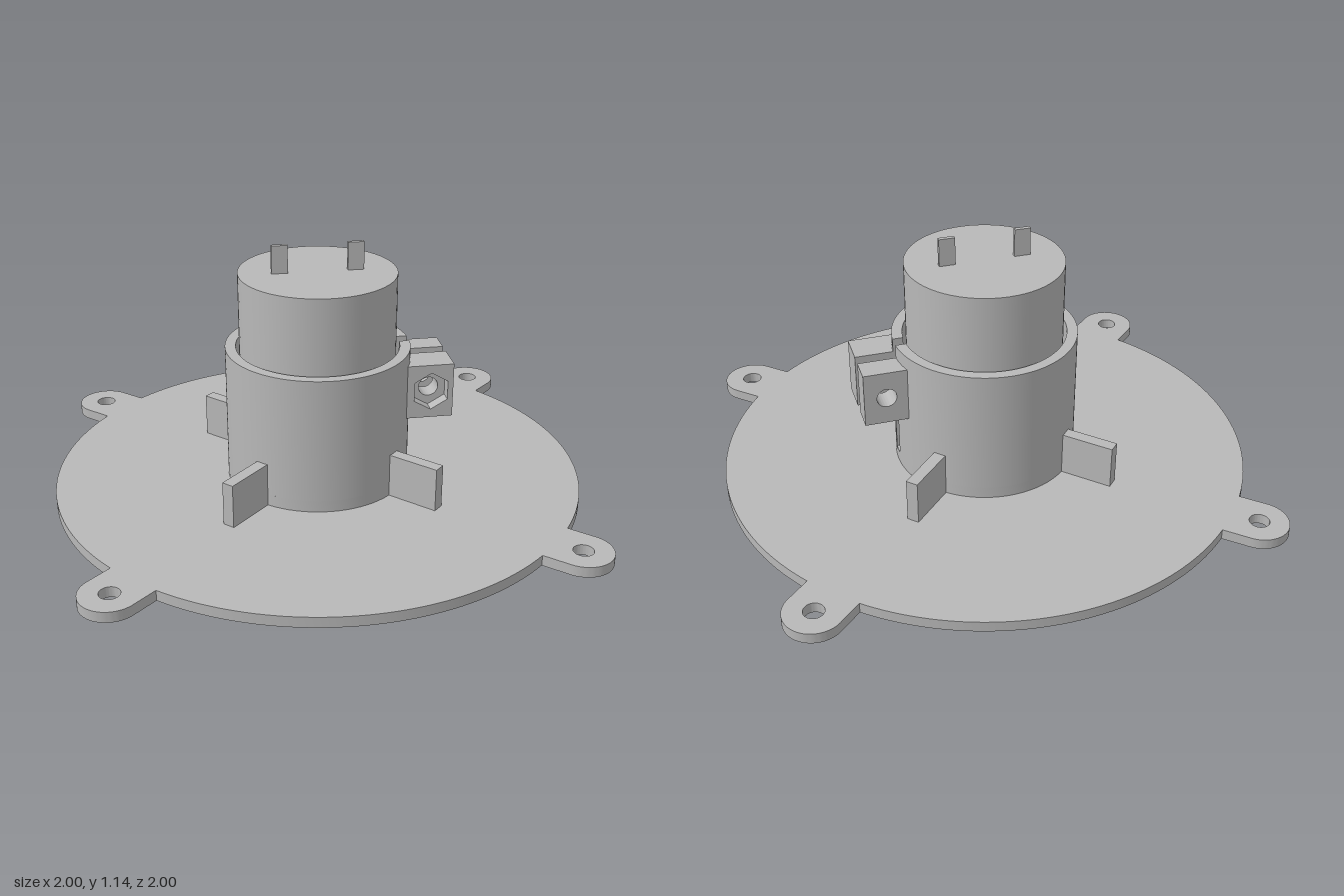
import * as THREE from 'three';
import { toCreasedNormals } from 'three/addons/utils/BufferGeometryUtils.js';

const PLATE_Y = 0.195, PLATE_TOP = 0.235;
const CLAMP_X = 0.403, CLAMP_Y = 0.597;

export function createModel() {
  const model = new THREE.Group();
  model.name = 'motorMount';
  const grey = new THREE.MeshStandardMaterial({ color: 0xb8b8b8 });
  grey.name = 'grey';

  const add = (name, geometry, x = 0, y = 0, z = 0, parent = model) => {
    const mesh = new THREE.Mesh(geometry, grey);
    mesh.name = name;
    mesh.position.set(x, y, z);
    parent.add(mesh);
    return mesh;
  };
  const extrude = (shape, depth, curveSegments = 24) => toCreasedNormals(
    new THREE.ExtrudeGeometry(shape, { depth, bevelEnabled: false, curveSegments }), 0.5);
  // Extrusion that rises along y
  const extrudeUp = (shape, height, segments) => extrude(shape, height, segments).rotateX(-Math.PI / 2);
  const circle = (x, y, r) => new THREE.Path().absarc(x, y, r, 0, Math.PI * 2, true);
  const cylinder = (name, r, y0, y1, segments = 64) =>
    add(name, new THREE.CylinderGeometry(r, r, y1 - y0, segments), 0, (y0 + y1) / 2);

  // Round base plate with four rounded screw ears
  const earX = 0.808, earZ = 0.745, earR = 0.108;
  const half = Math.asin(earR);
  const tilt = Math.atan2(earZ, earX);
  const earAngles = [tilt, Math.PI - tilt, Math.PI + tilt, 2 * Math.PI - tilt];
  const plate = new THREE.Shape();
  let from = -tilt + half;
  plate.moveTo(Math.cos(from), Math.sin(from));
  for (const a of earAngles) {
    const cx = Math.cos(a) * Math.hypot(earX, earZ), cy = Math.sin(a) * Math.hypot(earX, earZ);
    plate.absarc(0, 0, 1, from, a - half, false);
    plate.absarc(cx, cy, earR, a - Math.PI / 2, a + Math.PI / 2, false);
    plate.holes.push(circle(cx, cy, 0.037));
    from = a + half;
  }
  plate.closePath();
  plate.holes.push(circle(0, 0, 0.117));
  add('basePlate', extrudeUp(plate, PLATE_TOP - PLATE_Y), 0, PLATE_Y);

  // Holder tube: closed ring at the foot, slotted ring above it
  const outer = 0.345, inner = 0.305, slot = 0.023, slotY = 0.28;
  const foot = new THREE.Shape().absarc(0, 0, outer, 0, Math.PI * 2, false);
  foot.holes.push(circle(0, 0, inner));
  add('holderFoot', extrudeUp(foot, slotY - PLATE_TOP, 40), 0, PLATE_TOP);
  const ao = Math.asin(slot / outer), ai = Math.asin(slot / inner);
  const slotted = new THREE.Shape();
  slotted.absarc(0, 0, outer, ao, 2 * Math.PI - ao, false);
  slotted.absarc(0, 0, inner, 2 * Math.PI - ai, ai, true);
  slotted.closePath();
  add('slottedHolder', extrudeUp(slotted, 0.755 - slotY, 64), 0, slotY);

  // Motor body, boss, shaft and terminals
  cylinder('motorBody', 0.292, PLATE_TOP, 1.04);
  cylinder('motorBoss', 0.114, 0.212, 0.24, 40);
  cylinder('motorShaft', 0.023, 0, 0.22, 24);
  for (const s of [-1, 1]) {
    add('terminal', new THREE.BoxGeometry(0.06, 0.115, 0.016), s * 0.14, 1.0875, 0);
  }

  // Diagonal support ribs
  for (let i = 0; i < 4; i++) {
    const rib = new THREE.Group();
    rib.name = 'rib';
    rib.rotation.y = Math.PI / 4 + i * Math.PI / 2;
    add('ribPlate', new THREE.BoxGeometry(0.213, 0.168, 0.046), 0.4365, 0.318, 0, rib);
    model.add(rib);
  }

  // Clamp lugs: a bolt hole through both, a hexagonal nut pocket in front
  const lug = (hole) => {
    const s = new THREE.Shape([
      [0.312, 0.492], [0.487, 0.492], [0.487, 0.702], [0.312, 0.702],
    ].map(([x, y]) => new THREE.Vector2(x, y)));
    s.holes.push(hole);
    return s;
  };
  const bolt = () => circle(CLAMP_X, CLAMP_Y, 0.037);
  const hexagon = new THREE.Path(Array.from({ length: 6 }, (_, i) => {
    const a = Math.PI / 2 - i * Math.PI / 3;
    return new THREE.Vector2(CLAMP_X + 0.073 * Math.cos(a), CLAMP_Y + 0.073 * Math.sin(a));
  }));
  add('rearLug', extrude(lug(bolt()), 0.094), 0, 0, -0.117);
  add('frontLug', extrude(lug(bolt()), 0.077), 0, 0, slot);
  add('nutPocket', extrude(lug(hexagon), 0.047), 0, 0, 0.1);

  return model;
}
